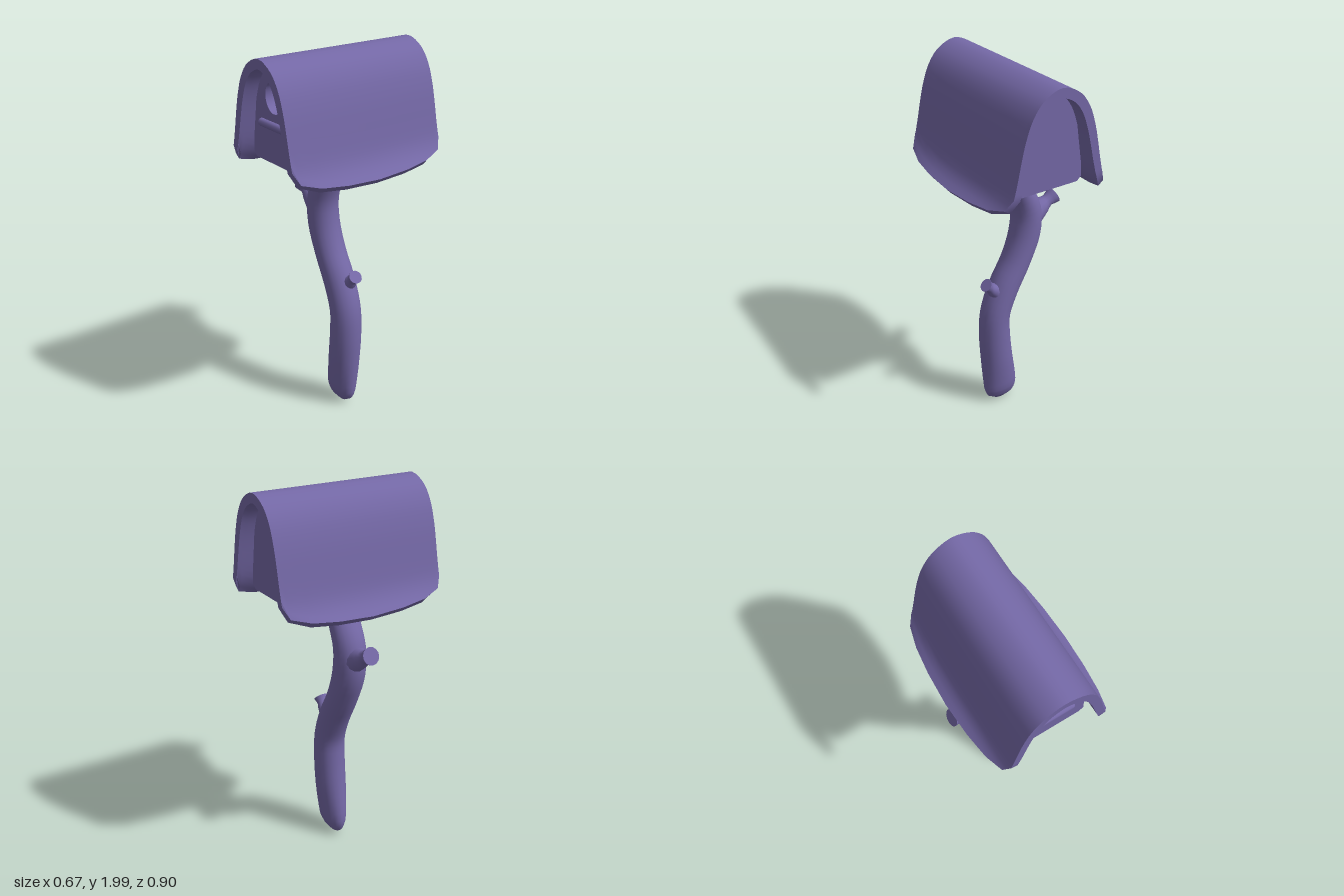
import * as THREE from 'three';
import { toCreasedNormals } from 'three/addons/utils/BufferGeometryUtils.js';

const V = (x, y, z = 0) => new THREE.Vector3(x, y, z);

// Skin a row of equal closed loops (counter-clockwise about the travel axis), with capped ends
function loft(rings, crease = 0.9) {
  const n = rings[0].length, last = (rings.length - 1) * n, index = [];
  for (let i = 0; i < rings.length - 1; i++) {
    for (let j = 0; j < n; j++) {
      const k = (j + 1) % n;
      const a = i * n + j, b = i * n + k, c = a + n, d = b + n;
      index.push(a, b, d, a, d, c);
    }
  }
  for (let j = 0; j < n / 2 - 1; j++) {
    const p = j + 1, q = n - 2 - j, r = n - 1 - j;
    index.push(last + j, last + p, last + q, last + j, last + q, last + r);
    index.push(j, q, p, j, r, q);
  }
  const g = new THREE.BufferGeometry().setFromPoints(rings.flat());
  g.setIndex(index);
  return toCreasedNormals(g, crease);
}

// Branch through stations [x, y, radius across, radius in z]
function branch(stations, steps, sides, z = 0) {
  const path = new THREE.CatmullRomCurve3(stations.map(s => V(s[0], s[1])));
  const radii = new THREE.CatmullRomCurve3(stations.map(s => V(s[2], s[3])));
  const rings = [];
  for (let i = 0; i <= steps; i++) {
    const c = path.getPoint(i / steps), t = path.getTangent(i / steps), r = radii.getPoint(i / steps);
    const ring = [];
    for (let j = 0; j < sides; j++) {
      const a = j / sides * Math.PI * 2, u = Math.cos(a) * r.x;
      ring.push(V(c.x + t.y * u, c.y - t.x * u, z - Math.sin(a) * r.y));
    }
    rings.push(ring);
  }
  return loft(rings);
}

// Flared roof sheet: arched profile whose lower edges are trimmed round towards both ends
function roofGeometry() {
  const half = [[0.335, 1.425], [0.29, 1.465], [0.258, 1.52], [0.235, 1.606], [0.215, 1.7],
    [0.193, 1.79], [0.156, 1.887], [0.098, 1.96]];
  const curve = new THREE.CatmullRomCurve3([
    ...half.map(p => V(p[0], p[1])), V(0, 2),
    ...half.slice().reverse().map(p => V(-p[0], p[1]))]);
  const trim = [[0.448, 0.81], [0.42, 0.9], [0.32, 0.955], [0.18, 0.985], [0, 1]];
  const stations = [
    ...trim.map(([z, e]) => [-z, e]),
    ...trim.slice(0, -1).reverse()];
  const m = 40;
  return loft(stations.map(([z, e]) => {
    const outer = [], inner = [];
    for (let j = 0; j <= m; j++) {
      const s = (j / m * 2 - 1) * e, u = 0.5 + s / 2;
      const p = curve.getPointAt(u), t = curve.getTangentAt(u);
      const w = 0.048 - 0.016 * s * s;
      outer.push(V(p.x, p.y, z));
      inner.unshift(V(p.x - t.y * w, p.y + t.x * w, z));
    }
    return [...outer, ...inner];
  }), 0.8);
}

// Arched outline of the house
function archShape() {
  const side = [[0.165, 1.482], [0.188, 1.505], [0.183, 1.58], [0.163, 1.7], [0.147, 1.8], [0.115, 1.88], [0.06, 1.935]];
  const pts = [...side, [0, 1.95], ...side.slice().reverse().map(([x, y]) => [-x, y])];
  return new THREE.Shape(pts.map(([x, y]) => new THREE.Vector2(x, y)));
}

function extrude(shape, z0, z1) {
  const g = new THREE.ExtrudeGeometry(shape, { depth: z1 - z0, bevelEnabled: false, curveSegments: 20 });
  g.translate(0, 0, z0);
  return toCreasedNormals(g, 0.6);
}

export function createModel() {
  const purple = new THREE.MeshStandardMaterial({ color: 0x7468a6 });
  purple.name = 'purple';
  const model = new THREE.Group();
  model.name = 'birdhouseOnBranch';
  const add = (name, geometry) => {
    const mesh = new THREE.Mesh(geometry, purple);
    mesh.name = name;
    model.add(mesh);
    return mesh;
  };

  // Crooked post
  add('post', branch([
    [0.035, 0.01, 0.035, 0.012], [0.033, 0.045, 0.085, 0.04], [0.034, 0.1, 0.1, 0.062],
    [0.056, 0.3, 0.093, 0.082], [0.068, 0.45, 0.087, 0.085], [0.064, 0.6, 0.081, 0.085],
    [0.01, 0.75, 0.083, 0.085], [-0.07, 0.9, 0.08, 0.085], [-0.125, 1.05, 0.085, 0.085],
    [-0.13, 1.19, 0.08, 0.085], [-0.065, 1.35, 0.062, 0.085], [-0.01, 1.5, 0.056, 0.085]],
  44, 20, -0.004));

  // Cut-off twigs
  add('upperTwig', branch([
    [-0.13, 1.125, 0.085, 0.08], [-0.2, 1.155, 0.062, 0.06],
    [-0.25, 1.18, 0.046, 0.046], [-0.318, 1.212, 0.046, 0.046]], 10, 14));
  add('lowerTwig', branch([
    [0.03, 0.715, 0.065, 0.06], [0.07, 0.755, 0.042, 0.042],
    [0.095, 0.778, 0.036, 0.038], [0.13, 0.812, 0.036, 0.038]], 10, 14, -0.02));

  // House body, with a front wall pierced by a round entrance
  add('houseBody', extrude(archShape(), -0.37, 0.32));
  const wall = archShape();
  wall.holes.push(new THREE.Path().absellipse(0, 1.808, 0.07, 0.078, 0, Math.PI * 2, true));
  add('frontWall', extrude(wall, 0.32, 0.37));

  // Perch ledge under the entrance
  const ledge = new THREE.CapsuleGeometry(0.02, 0.2, 6, 12);
  ledge.rotateZ(Math.PI / 2);
  add('perchLedge', ledge).position.set(0, 1.672, 0.375);

  add('roof', roofGeometry());
  return model;
}
